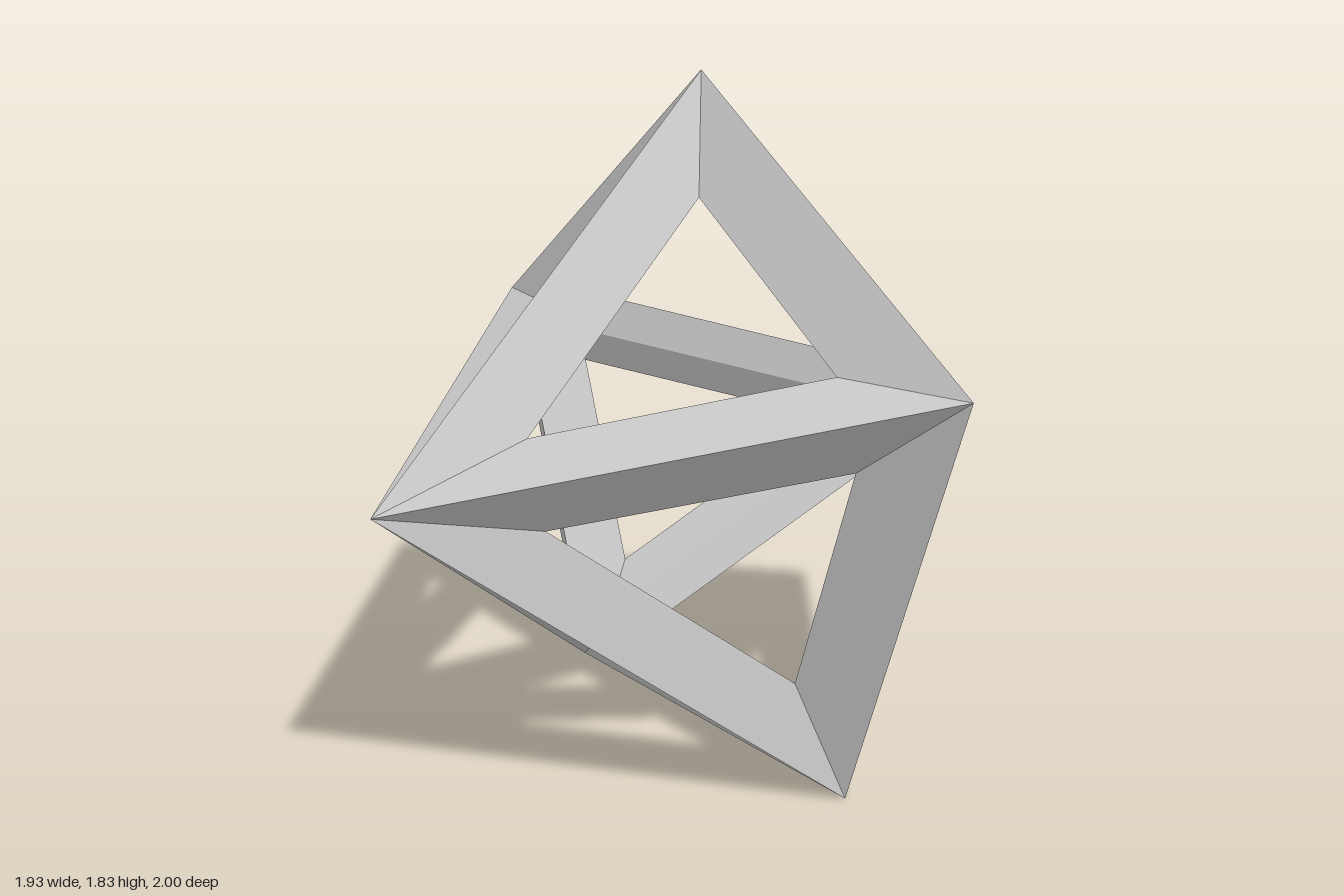
import * as THREE from 'three';

// Open frame of a five-sided bipyramid lying on one edge, its axis along z.
const R = 1.0135;                           // radius of the pentagon
const CY = R * Math.cos(Math.PI / 5);       // height of the centre
const DEPTH = 0.253;                        // corner to inner corner
const STEP = Math.PI / 5;

// Point from radial and tangential distances at an angle round the axis
function polar(angle, radial, tangent, z) {
  const c = Math.cos(angle), s = Math.sin(angle);
  return new THREE.Vector3(radial * c - tangent * s, CY + radial * s + tangent * c, z);
}

// One triangular panel: three mitred half-bars round an opening
function panelGeometry(mid, side) {
  const a = mid - STEP, b = mid + STEP;
  const outer = [polar(a, R, 0, 0), polar(b, R, 0, 0), polar(0, 0, 0, side)];
  const hole = [
    polar(a, R - 0.313, 0.115, 0.1 * side),
    polar(b, R - 0.313, -0.115, 0.1 * side),
    polar(mid, 0.195, 0, 0.632 * side),
  ];
  const inner = [
    polar(a, R - DEPTH, 0, 0),
    polar(b, R - DEPTH, 0, 0),
    polar(0, 0, 0, (1 - DEPTH) * side),
  ];
  const positions = [];
  const quad = (p, q, r, s) => {
    const corners = side > 0 ? [p, q, r, p, r, s] : [p, r, q, p, s, r];
    corners.forEach((v) => positions.push(v.x, v.y, v.z));
  };
  for (let i = 0; i < 3; i++) {
    const j = (i + 1) % 3;
    quad(outer[i], outer[j], hole[j], hole[i]);   // outside of the bar
    quad(hole[i], hole[j], inner[j], inner[i]);   // inside of the bar
  }
  const geometry = new THREE.BufferGeometry();
  geometry.setAttribute('position', new THREE.Float32BufferAttribute(positions, 3));
  geometry.computeVertexNormals();
  return geometry;
}

export function createModel() {
  const model = new THREE.Group();
  model.name = 'bipyramidFrame';
  const material = new THREE.MeshStandardMaterial({ color: 0xcccccc, flatShading: true });

  // Five panels in front, five mirrored behind
  for (const side of [1, -1]) {
    const half = new THREE.Group();
    half.name = side > 0 ? 'frontPyramid' : 'backPyramid';
    for (let k = 0; k < 5; k++) {
      const mesh = new THREE.Mesh(panelGeometry(-Math.PI / 2 + 2 * STEP * k, side), material);
      mesh.name = `triangularPanel${k + 1}`;
      half.add(mesh);
    }
    model.add(half);
  }
  return model;
}
